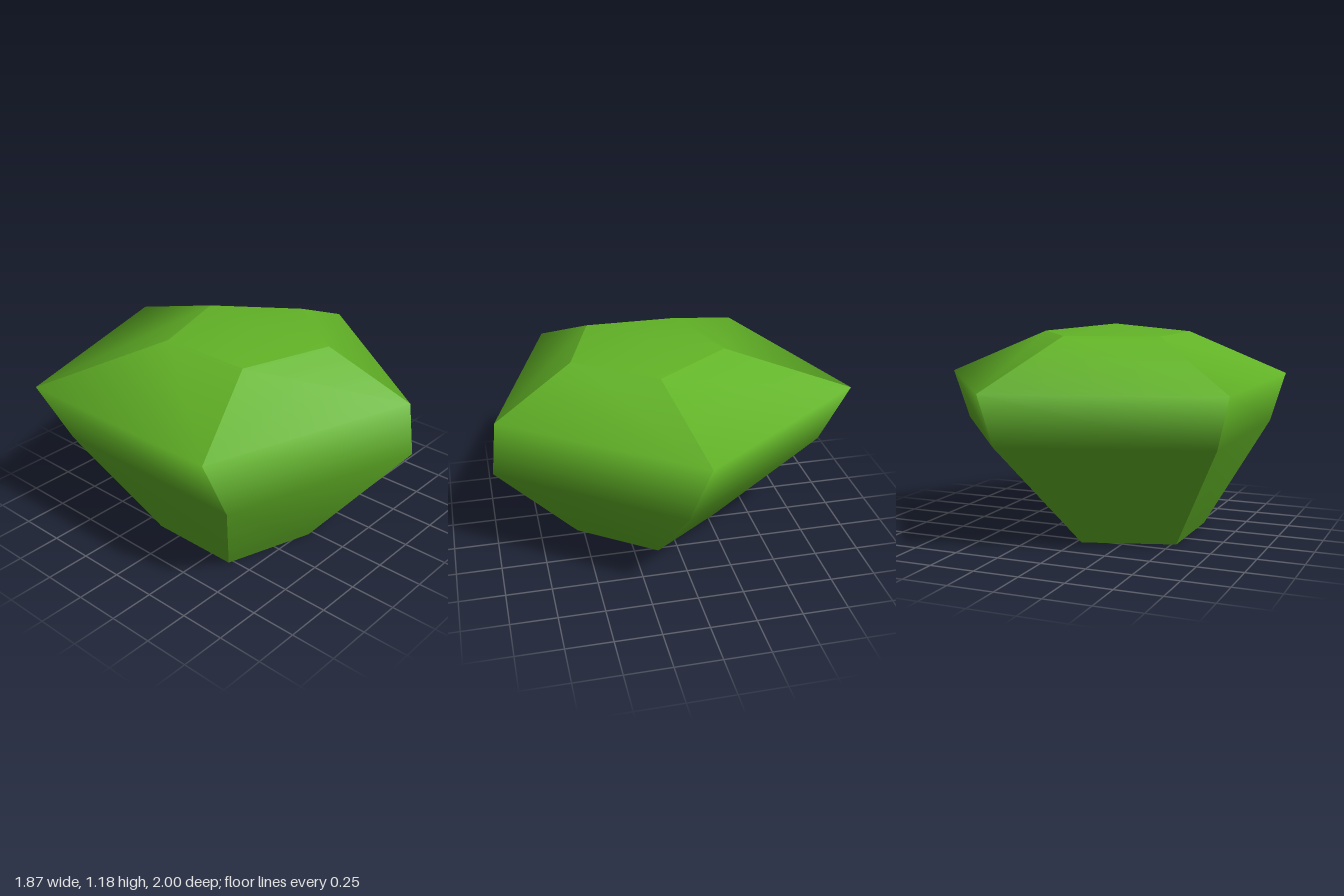
import * as THREE from 'three';

// Pentagonal rings from ground to top: height, radius, centre x, centre z
const RINGS = [
  [0, 0.442, -0.168, 0.115],
  [0.595, 0.956, -0.067, 0.09],
  [0.888, 1.034, -0.104, -0.015],
  [1.13, 0.442, -0.062, 0.12],
];
const SIDES = 5;

function corner([y, r, cx, cz], k) {
  const a = (k / SIDES) * Math.PI * 2;
  return [cx + r * Math.cos(a), y, cz + r * Math.sin(a)];
}

function makeMesh(name, points, index, material) {
  const geometry = new THREE.BufferGeometry();
  geometry.setAttribute('position', new THREE.Float32BufferAttribute(points.flat(), 3));
  geometry.setIndex(index);
  geometry.computeVertexNormals();
  const mesh = new THREE.Mesh(geometry, material);
  mesh.name = name;
  return mesh;
}

// Five-sided cap fanned out from a centre point
function makeCap(name, ring, centreY, up, material) {
  const points = [[ring[2], centreY, ring[3]]];
  const index = [];
  for (let k = 0; k < SIDES; k++) {
    points.push(corner(ring, k));
    const a = k + 1, b = ((k + 1) % SIDES) + 1;
    index.push(0, up ? b : a, up ? a : b);
  }
  return makeMesh(name, points, index, material);
}

export function createModel() {
  const group = new THREE.Group();
  group.name = 'bush';
  const leafGreen = new THREE.MeshStandardMaterial({ color: 0x62b327 });
  leafGreen.name = 'leafGreen';

  // Side strips: smooth from bottom to top, sharp where they meet
  for (let k = 0; k < SIDES; k++) {
    const points = [], index = [];
    RINGS.forEach((ring, i) => {
      points.push(corner(ring, k), corner(ring, k + 1));
      if (i > 0) {
        const n = 2 * i;
        index.push(n - 2, n, n + 1, n - 2, n + 1, n - 1);
      }
    });
    group.add(makeMesh('side' + (k + 1), points, index, leafGreen));
  }

  // Shallow crown and flat base
  group.add(makeCap('crown', RINGS[3], 1.18, true, leafGreen));
  group.add(makeCap('base', RINGS[0], 0, false, leafGreen));
  return group;
}
